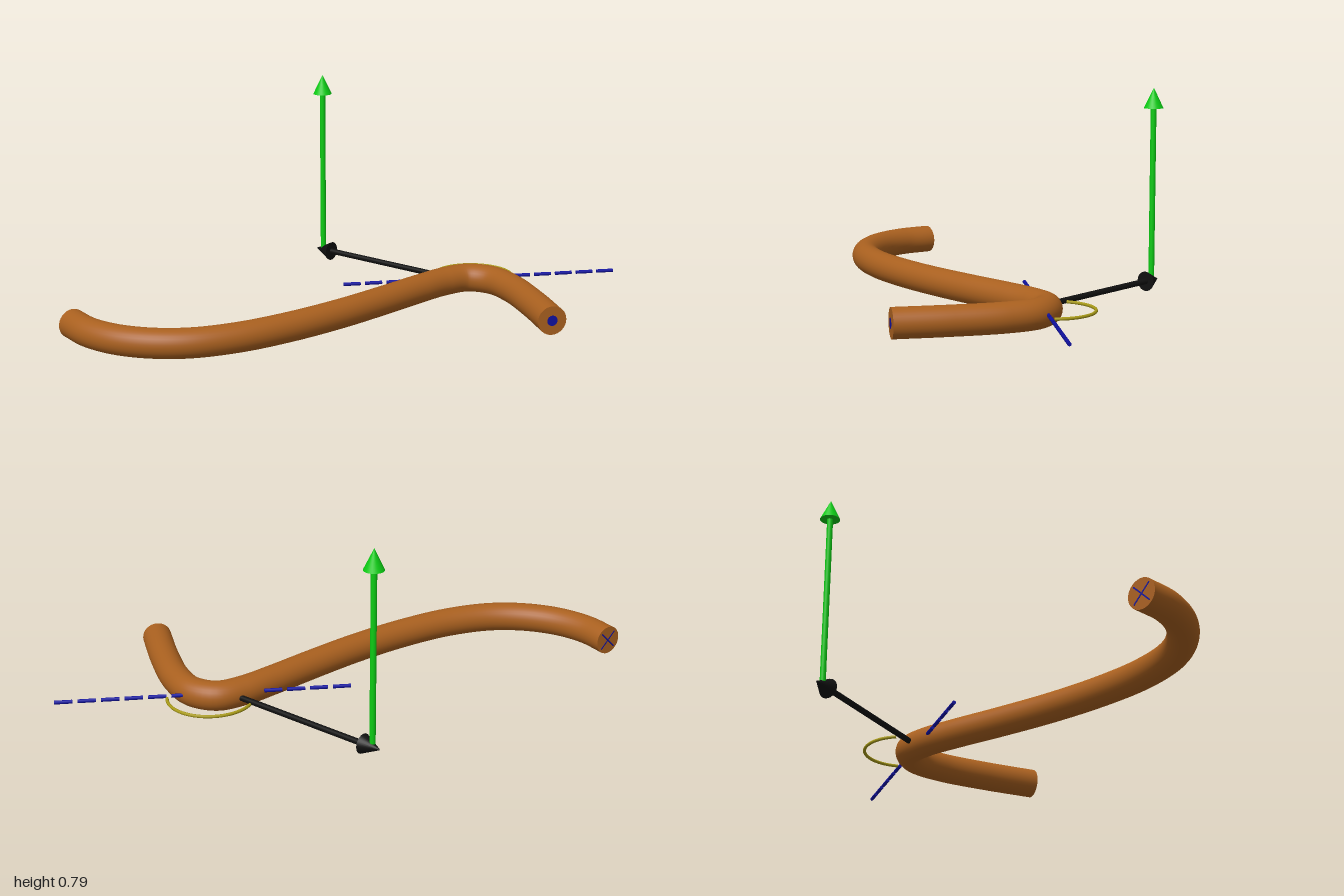
import * as THREE from 'three';

const Y = 0.055; // height of the wire's centre line
const R = 0.055; // wire radius
const at = (x, z, y = Y) => new THREE.Vector3(x, y, z);
const material = (color) => new THREE.MeshStandardMaterial({ color });

const copper = material(0xa9601f);
const green = material(0x0ccc14);
const black = material(0x101010);
const blue = material(0x1010a0);
const yellow = material(0xa89a18);

function add(parent, name, geometry, mat) {
  const mesh = new THREE.Mesh(geometry, mat);
  mesh.name = name;
  parent.add(mesh);
  return mesh;
}

// Cylinder or cone running from a to b
function rod(parent, name, a, b, r0, r1, mat, sides = 20) {
  const dir = b.clone().sub(a);
  const mesh = add(parent, name, new THREE.CylinderGeometry(r1, r0, dir.length(), sides), mat);
  mesh.position.copy(a).add(b).multiplyScalar(0.5);
  mesh.quaternion.setFromUnitVectors(new THREE.Vector3(0, 1, 0), dir.normalize());
  return mesh;
}

// Shaft with a cone at its tip
function arrow(parent, name, from, to, mat) {
  const group = new THREE.Group();
  group.name = name;
  parent.add(group);
  const neck = to.clone().sub(from).setLength(from.distanceTo(to) - 0.077).add(from);
  rod(group, name + 'Shaft', from, neck, 0.011, 0.011, mat);
  rod(group, name + 'Head', neck, to, 0.037, 0, mat, 28);
}

// Group on a wire end whose +z points out of the wire
function wireEnd(parent, name, point, outward) {
  const end = new THREE.Group();
  end.name = name;
  end.position.copy(point);
  end.lookAt(point.clone().add(outward));
  parent.add(end);
  add(end, name + 'Cap', new THREE.CircleGeometry(R, 32), copper);
  return end;
}

export function createModel() {
  const model = new THREE.Group();

  // Bent wire lying flat
  const path = new THREE.CatmullRomCurve3([
    at(-0.455, 0.922), at(-0.33, 0.936), at(-0.2, 0.91), at(-0.08, 0.84),
    at(0.01, 0.74), at(0.08, 0.58), at(0.12, 0.38), at(0.138, 0.15),
    at(0.137, -0.08), at(0.13, -0.28), at(0.132, -0.42), at(0.16, -0.52),
    at(0.245, -0.565), at(0.37, -0.544), at(0.55, -0.464), at(0.733, -0.365),
  ]);
  add(model, 'wire', new THREE.TubeGeometry(path, 140, R, 32), copper);

  // Wire ends: a cross where the current enters, a dot where it leaves
  const inlet = wireEnd(model, 'inletEnd', path.getPoint(0), path.getTangent(0).negate());
  for (const turn of [-1, 1]) {
    const bar = add(inlet, 'inletCrossBar', new THREE.BoxGeometry(0.09, 0.005, 0.002), blue);
    bar.rotation.z = turn * Math.PI / 4;
  }
  const outlet = wireEnd(model, 'outletEnd', path.getPoint(1), path.getTangent(1));
  const dot = add(outlet, 'outletDot', new THREE.CircleGeometry(0.02, 24), blue);
  dot.position.z = 0.002;

  // Distance arrow and upright field arrow
  arrow(model, 'distanceArrow', at(0.13, -0.472), at(-0.547, -0.367), black);
  arrow(model, 'fieldArrow', at(-0.51, -0.37, 0.06), at(-0.51, -0.37, 0.787), green);

  // Dashed tangent line through the bend
  const tangent = new THREE.Group();
  tangent.name = 'tangentLine';
  model.add(tangent);
  const line = new THREE.LineCurve3(at(-0.103, -0.103, 0.058), at(0.5, -1, 0.058));
  const dashes = 13;
  const period = 1 / (dashes - 0.22);
  for (let i = 0; i < dashes; i++) {
    const t = i * period;
    rod(tangent, 'dash', line.getPoint(t), line.getPoint(t + 0.78 * period), 0.007, 0.007, blue, 10);
  }

  // Arc marking the angle between the arrow and the tangent
  const arcPoints = [];
  for (let i = 0; i <= 16; i++) {
    const a = 2.68 + (5.39 - 2.68) * i / 16;
    arcPoints.push(at(0.165 + 0.157 * Math.cos(a), -0.547 + 0.157 * Math.sin(a)));
  }
  add(model, 'angleArc', new THREE.TubeGeometry(new THREE.CatmullRomCurve3(arcPoints), 48, 0.006, 10), yellow);

  return model;
}
